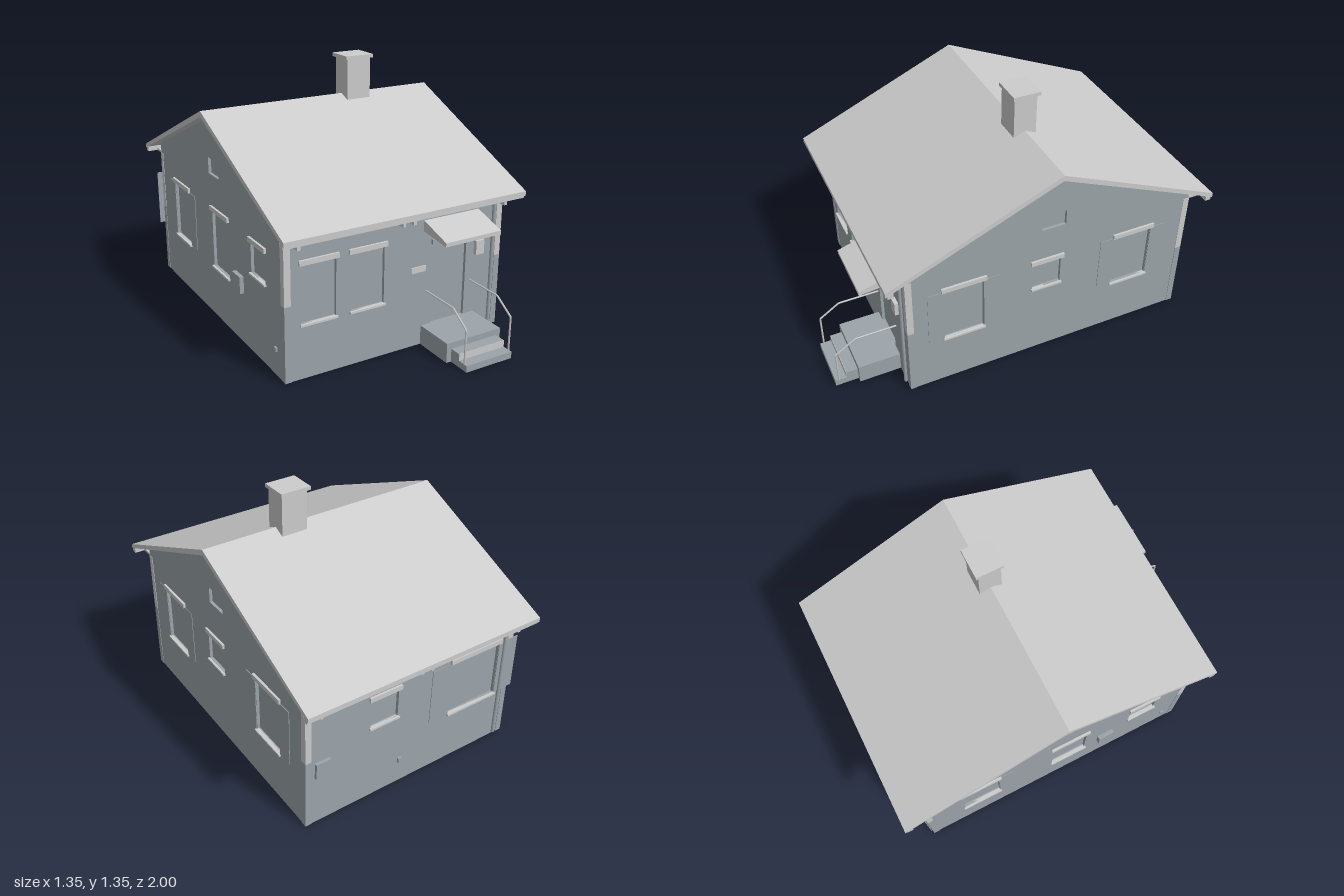
import * as THREE from 'three';

const wallMat = new THREE.MeshStandardMaterial({ name: 'blue grey render', color: 0x9ca4aa, side: THREE.DoubleSide });
const trimMat = new THREE.MeshStandardMaterial({ name: 'light grey trim', color: 0xcccccc });

const HALF_W = 0.62, FRONT = 0.66, BACK = -0.895, RIDGE_Z = -0.115, EAVE = 0.885;
const T = 0.02; // wall thickness

function add(parent, name, geometry, material) {
  const mesh = new THREE.Mesh(geometry, material);
  mesh.name = name;
  parent.add(mesh);
  return mesh;
}

// Box given by its limits on each axis
function box(parent, name, material, x0, x1, y0, y1, z0, z1) {
  const mesh = add(parent, name, new THREE.BoxGeometry(x1 - x0, y1 - y0, z1 - z0), material);
  mesh.position.set((x0 + x1) / 2, (y0 + y1) / 2, (z0 + z1) / 2);
  return mesh;
}

// Prism with a (z, y) profile, running along x
function prism(parent, name, material, profile, x0, x1) {
  const shape = new THREE.Shape(profile.map(([z, y]) => new THREE.Vector2(-z, y)));
  const geometry = new THREE.ExtrudeGeometry(shape, { depth: x1 - x0, bevelEnabled: false });
  geometry.rotateY(Math.PI / 2).translate(x0, 0, 0);
  return add(parent, name, geometry, material);
}

// Wall in its own frame: u to the right, v up, +z outwards
function wall(parent, name, outline, openings) {
  const group = new THREE.Group();
  group.name = name;
  parent.add(group);
  const shape = new THREE.Shape(outline.map(p => new THREE.Vector2(...p)));
  for (const { u0, u1, v0, v1, kind } of openings) {
    shape.holes.push(new THREE.Path([[u0, v0], [u0, v1], [u1, v1], [u1, v0]].map(p => new THREE.Vector2(...p))));
    box(group, kind + 'Pane', wallMat, u0, u1, v0, v1, -T, -T + 0.004);
    if (kind === 'vent') continue;
    box(group, kind + 'Lintel', kind === 'door' ? wallMat : trimMat, u0 - 0.013, u1 + 0.013, v1, v1 + 0.025, -0.005, 0.012);
    if (kind !== 'door') box(group, kind + 'Sill', trimMat, u0 - 0.007, u1 + 0.007, v0 - 0.01, v0, -0.01, 0.012);
    if (kind === 'shutteredWindow') {
      const w = (u1 - u0) * 0.4;
      box(group, 'shutter', wallMat, u0 - w, u0 - 0.002, v0, v1, 0, 0.003);
      box(group, 'shutter', wallMat, u1 + 0.002, u1 + w, v0, v1, 0, 0.003);
    }
  }
  const geometry = new THREE.ExtrudeGeometry(shape, { depth: T, bevelEnabled: false });
  geometry.translate(0, 0, -T);
  add(group, name + 'Panel', geometry, wallMat);
  return group;
}

const opening = (kind, u0, u1, v0, v1) => ({ kind, u0, u1, v0, v1 });

function createModel() {
  const house = new THREE.Group();
  house.name = 'house';

  // Front and back walls
  const flat = [[-HALF_W, 0], [HALF_W, 0], [HALF_W, 0.77], [-HALF_W, 0.77]];
  const front = wall(house, 'frontWall', flat, [
    opening('window', -0.535, -0.35, 0.285, 0.58),
    opening('window', -0.27, -0.085, 0.285, 0.58),
    opening('door', 0.2, 0.405, 0.1, 0.535),
  ]);
  front.position.z = FRONT;
  box(front, 'housePlate', trimMat, 0.07, 0.155, 0.4, 0.43, 0, 0.006);
  box(front, 'letterBox', trimMat, 0.455, 0.505, 0.425, 0.5, 0, 0.02);

  const back = wall(house, 'backWall', flat, [
    opening('window', -0.26, -0.1, 0.43, 0.59),
    opening('shutteredWindow', 0.225, 0.53, 0.29, 0.6),
  ]);
  back.position.z = BACK;
  back.rotation.y = Math.PI;
  box(back, 'meterBox', wallMat, -0.57, -0.49, 0.28, 0.37, 0, 0.016);
  box(back, 'pipeOutlet', wallMat, -0.085, -0.065, 0.13, 0.155, 0, 0.012);

  // Gable walls; u is -z on the right and +z on the left
  const gable = s => {
    const points = [[BACK, 0], [FRONT, 0], [FRONT, 0.776], [RIDGE_Z, 1.112], [BACK, 0.776]];
    return s > 0 ? points : points.map(([z, y]) => [-z, y]);
  };
  const right = wall(house, 'rightWall', gable(-1), [
    opening('shutteredWindow', -0.47, -0.26, 0.29, 0.6),
    opening('window', 0.005, 0.16, 0.43, 0.59),
    opening('shutteredWindow', 0.47, 0.68, 0.29, 0.6),
    opening('vent', 0.045, 0.175, 0.795, 0.88),
  ]);
  right.position.x = HALF_W;
  right.rotation.y = Math.PI / 2;

  const left = wall(house, 'leftWall', gable(1), [
    opening('shutteredWindow', -0.68, -0.47, 0.29, 0.6),
    opening('window', -0.15, 0.05, 0.29, 0.6),
    opening('window', 0.315, 0.47, 0.43, 0.59),
    opening('vent', -0.175, -0.045, 0.795, 0.88),
  ]);
  left.position.x = -HALF_W;
  left.rotation.y = -Math.PI / 2;
  box(left, 'utilityBox', wallMat, 0.13, 0.22, 0.28, 0.37, 0, 0.022);
  box(left, 'pipeOutlet', wallMat, 0.56, 0.58, 0.13, 0.15, 0, 0.01);

  // Corner boards: light above, wall colour below
  for (const x of [-HALF_W + 0.0145, HALF_W - 0.0145]) {
    for (const z of [FRONT - 0.0145, BACK + 0.0145]) {
      box(house, 'cornerBoard', trimMat, x - 0.017, x + 0.017, 0.39, 0.72, z - 0.017, z + 0.017);
      box(house, 'cornerBase', wallMat, x - 0.017, x + 0.017, 0, 0.39, z - 0.017, z + 0.017);
    }
  }

  // Roof slab
  const zf = RIDGE_Z + EAVE, zb = RIDGE_Z - EAVE;
  prism(house, 'roof', trimMat, [[zf, 0.755], [RIDGE_Z, 1.14], [zb, 0.755],
    [zb, 0.73], [RIDGE_Z, 1.11], [zf, 0.73]], -0.675, 0.675);

  // Eaves: soffit, gutter and brackets, front and back
  for (const s of [1, -1]) {
    const eave = new THREE.Group();
    eave.name = s > 0 ? 'frontEave' : 'backEave';
    eave.position.z = RIDGE_Z;
    if (s < 0) eave.rotation.y = Math.PI;
    house.add(eave);
    box(eave, 'soffit', trimMat, -HALF_W, HALF_W, 0.717, 0.73, 0.776, 0.86);
    box(eave, 'gutter', trimMat, -0.675, 0.675, 0.718, 0.742, 0.845, 0.875);
    for (const x of [-0.585, -0.03, 0.03, 0.575])
      box(eave, 'bracket', trimMat, x - 0.008, x + 0.008, 0.69, 0.718, 0.776, 0.855);
    // Downpipe
    const pipe = add(eave, 'downpipe', new THREE.CylinderGeometry(0.009, 0.009, 0.7, 8), wallMat);
    pipe.position.set(0.565, 0.36, 0.784);
  }

  // Chimney
  box(house, 'chimney', trimMat, 0.135, 0.275, 1.06, 1.33, -0.175, -0.055);
  box(house, 'chimneyCap', trimMat, 0.122, 0.286, 1.328, 1.347, -0.19, -0.045);

  // Porch canopy
  prism(house, 'canopy', trimMat, [[FRONT, 0.61], [0.838, 0.59], [0.838, 0.61], [FRONT, 0.666]], 0.14, 0.47);

  // Landing and steps
  box(house, 'landing', wallMat, 0.14, 0.468, 0, 0.103, FRONT, 0.88);
  box(house, 'upperStep', wallMat, 0.167, 0.443, 0, 0.07, 0.87, 0.94);
  box(house, 'upperRiser', trimMat, 0.167, 0.443, 0.035, 0.07, 0.94, 0.942);
  box(house, 'lowerStep', wallMat, 0.167, 0.443, 0, 0.035, 0.87, 1);

  // Handrails
  for (const x of [0.17, 0.44]) {
    const path = new THREE.CurvePath();
    const points = [[0.03, 0.98], [0.215, 0.98], [0.285, 0.875], [0.285, FRONT]].map(([y, z]) => new THREE.Vector3(x, y, z));
    for (let i = 0; i < 3; i++) path.add(new THREE.LineCurve3(points[i], points[i + 1]));
    add(house, 'handrail', new THREE.TubeGeometry(path, 48, 0.005, 6), trimMat);
  }

  return house;
}

export { createModel };
